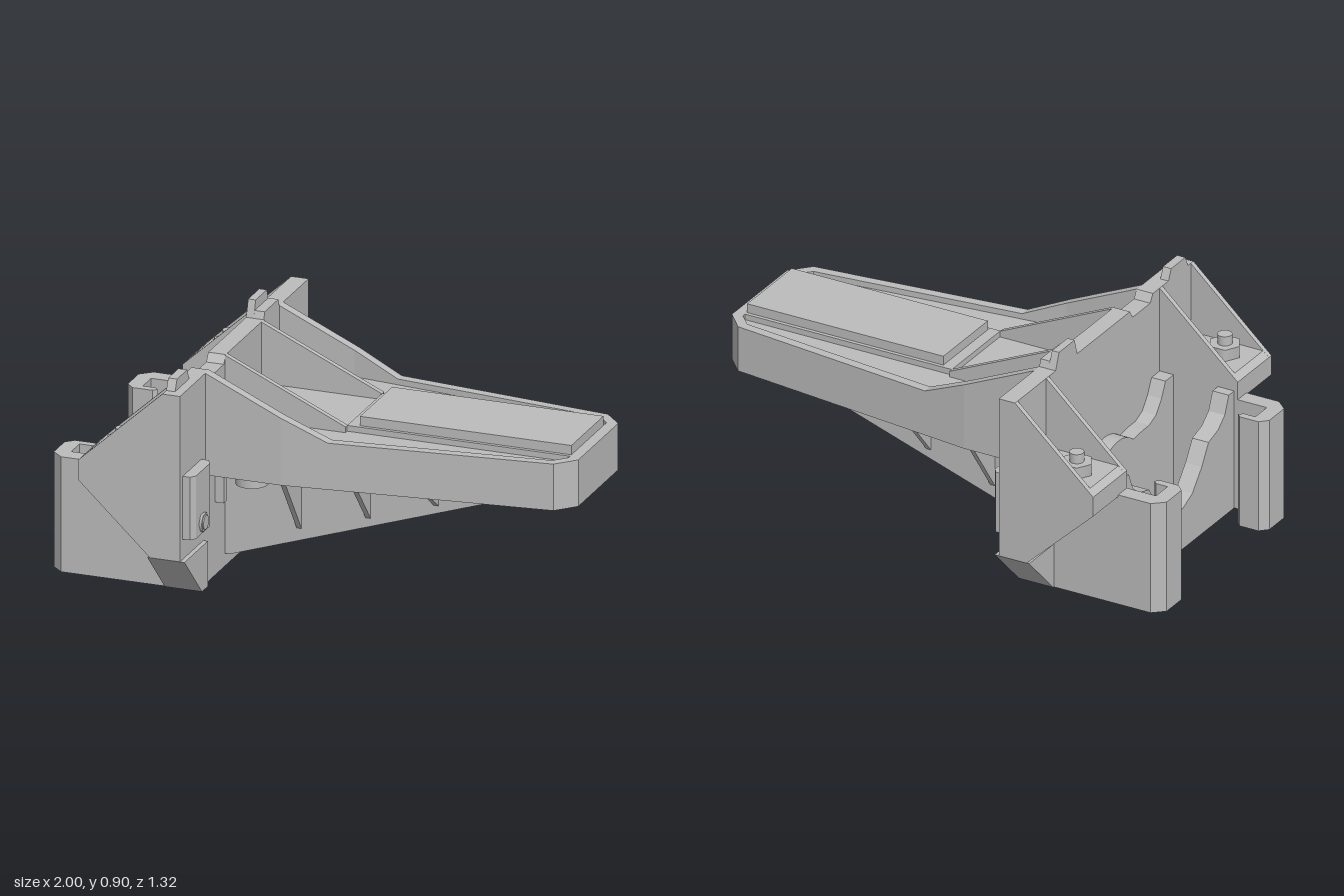
import * as THREE from 'three';

const grey = new THREE.MeshStandardMaterial({ color: 0xbcbcbc });
grey.name = 'plain grey';

// Counter-clockwise shape from [u, v] points, with round holes given as [u, v, radius]
function outline(points, holes = []) {
  const pts = points.map(([u, v]) => new THREE.Vector2(u, v));
  if (THREE.ShapeUtils.isClockWise(pts)) pts.reverse();
  const shape = new THREE.Shape(pts);
  for (const [u, v, r] of holes)
    shape.holes.push(new THREE.Path().absarc(u, v, r, 0, Math.PI * 2, true));
  return shape;
}
const solid = (shape, depth) =>
  new THREE.ExtrudeGeometry(shape, { depth, bevelEnabled: false, curveSegments: 20 });

// Side profile [x, y], pushed along z
const sideProfile = (pts, z0, z1) => solid(outline(pts), z1 - z0).translate(0, 0, z0);
// Cross profile [z, y], pushed along x
const crossProfile = (pts, x0, x1, holes = []) =>
  solid(outline(pts.map(([z, y]) => [-z, y]), holes.map(([z, y, r]) => [-z, y, r])), x1 - x0)
    .rotateY(Math.PI / 2).translate(x0, 0, 0);
// Plan [x, z], pushed along y
const plan = (pts, y0, y1, holes = []) =>
  solid(outline(pts, holes), y1 - y0).rotateX(Math.PI / 2).translate(0, y1, 0);
const box = (x0, x1, y0, y1, z0, z1) =>
  new THREE.BoxGeometry(x1 - x0, y1 - y0, z1 - z0)
    .translate((x0 + x1) / 2, (y0 + y1) / 2, (z0 + z1) / 2);

// Close a symmetric outline by mirroring one coordinate
const mirrorFirst = (pts) => [...pts, ...pts.map(([a, b]) => [-a, b]).reverse()];
const mirrorSecond = (pts) => [...pts, ...pts.map(([a, b]) => [a, -b]).reverse()];

// Arc points in a [z, y] profile
function arc(cz, cy, r, a0, a1, n = 14) {
  return Array.from({ length: n + 1 }, (_, i) => {
    const a = a0 + ((a1 - a0) * i) / n;
    return [cz + r * Math.cos(a), cy + r * Math.sin(a)];
  });
}

// Round tube standing on y
function tubeY(x, z, y0, y1, rOut, rIn) {
  const shape = new THREE.Shape().absarc(0, 0, rOut, 0, Math.PI * 2);
  shape.holes.push(new THREE.Path().absarc(0, 0, rIn, 0, Math.PI * 2, true));
  return solid(shape, y1 - y0).rotateX(Math.PI / 2).translate(x, y1, z);
}

// How far the arm's edge moves inward at x
const taper = (x) => Math.max(0, x + 0.11) * 0.115;

export function createModel() {
  const model = new THREE.Group();
  const add = (name, geometry) => {
    const mesh = new THREE.Mesh(geometry, grey);
    mesh.name = name;
    model.add(mesh);
  };
  const HOLE = [0, 0.226, 0.053];

  // Upright wall with chamfered lower corners and a shallow notch on top
  add('mountingWall', crossProfile([
    [-0.48, 0], [0.48, 0], [0.66, 0.18], [0.66, 0.837], [0.36, 0.837], [0.34, 0.805],
    [0.21, 0.805], [0.19, 0.837], [-0.66, 0.837], [-0.66, 0.18],
  ], -0.48, -0.41, [HOLE]));
  add('wallTabLeft', crossProfile([[0.62, 0.837], [0.6, 0.88], [0.495, 0.88], [0.475, 0.837]], -0.48, -0.445));
  add('wallTabRight', crossProfile([[-0.2, 0.837], [-0.22, 0.903], [-0.335, 0.903], [-0.36, 0.837]], -0.48, -0.45));
  add('wallTabStep', crossProfile([[-0.2, 0.837], [-0.21, 0.865], [-0.35, 0.865], [-0.36, 0.837]], -0.45, -0.41));

  // Scalloped backing plate with a round crest over the bore
  add('backingPlate', crossProfile(mirrorFirst([
    [0.48, 0], [0.66, 0.18], [0.41, 0.18], [0.41, 0.49], [0.35, 0.49], [0.32, 0.43], [0.28, 0.38],
    [0.23, 0.36], [0.18, 0.36], ...arc(0, 0.226, 0.17, 0.85, Math.PI / 2 - 0.05, 8),
  ]), -0.54, -0.48, [HOLE]));
  add('boreCollar', crossProfile(arc(0, 0.226, 0.135, 0, Math.PI * 2, 32).slice(0, -1), -0.41, -0.385, [HOLE]));

  // Saddle shaped cross plate between the clamp walls
  add('crossPlate', crossProfile(mirrorFirst([
    [0.41, 0], [0.41, 0.49], [0.37, 0.49], [0.34, 0.42], [0.29, 0.38], [0.22, 0.36], [0.17, 0.28], [0.1, 0.2], [0.03, 0.17],
  ]), -0.8, -0.73));
  add('crossPlatePad', plan([[-0.73, -0.18], [-0.695, -0.145], [-0.695, 0.145], [-0.73, 0.18]], 0, 0.17));

  for (const s of [-1, 1]) {
    const span = (a, b) => (s > 0 ? [a, b] : [-b, -a]);
    add('collarWeb', box(-0.41, -0.39, 0.17, 0.255, ...span(0.11, 0.18)));

    // Foot of the wall, a little proud of it
    add('wallFoot', crossProfile([[0.42, 0], [0.48, 0], [0.66, 0.18], [0.42, 0.18]].map(([z, y]) => [z * s, y]), -0.41, -0.392));

    // Clamp wall ending in a hook
    add('clampHook', plan([
      [-0.41, 0.475], [-0.955, 0.475], [-1, 0.435], [-1, 0.325], [-0.97, 0.295], [-0.89, 0.295], [-0.875, 0.31],
      [-0.89, 0.325], [-0.94, 0.325], [-0.94, 0.41], [-0.41, 0.41],
    ].map(([x, z]) => [x, z * s]), 0, 0.457));

    // Wedge shaped side box: core, thin side cheeks, captive nut and bolt
    add('sideBox', sideProfile([
      [-0.48, 0.552], [-0.79, 0.552], [-0.815, 0.53], [-0.815, 0.45], [-0.53, 0.18], [-0.48, 0.18],
    ], ...span(0.43, 0.64)));
    for (const z of [0.41, 0.64])
      add('sideBoxCheek', sideProfile([
        [-0.48, 0.837], [-0.815, 0.53], [-0.815, 0.45], [-0.53, 0.18], [-0.48, 0.18],
      ], ...span(z, z + 0.02)));
    add('captiveNut', new THREE.CylinderGeometry(0.063, 0.063, 0.05, 6).rotateY(Math.PI / 6).translate(-0.68, 0.574, s * 0.548));
    add('captiveBolt', new THREE.CylinderGeometry(0.028, 0.028, 0.07, 20).translate(-0.68, 0.602, s * 0.548));

    // Clip plate and bolt on the arm side of the wall
    add('clipPlate', plan([
      [-0.41, 0.44], [-0.38, 0.44], [-0.365, 0.47], [-0.365, 0.61], [-0.38, 0.632], [-0.41, 0.632],
    ].map(([x, z]) => [x, z * s]), 0.26, 0.51));
    add('clipNut', new THREE.CylinderGeometry(0.038, 0.038, 0.016, 6).rotateZ(Math.PI / 2).translate(-0.363, 0.305, s * 0.545));
    add('clipBolt', new THREE.CylinderGeometry(0.028, 0.028, 0.03, 20).rotateZ(Math.PI / 2).translate(-0.365, 0.305, s * 0.545));
    add('wallBar', box(-0.41, -0.375, 0.29, 0.57, ...span(0.272, 0.3)));

    // Outer gusset following the edge of the arm, in a straight and a tapered length
    add('outerGusset', sideProfile([[-0.41, 0.6], [-0.11, 0.6], [-0.11, 0.7], [-0.41, 0.837]], ...span(0.36, 0.4)));
    const tip = sideProfile([[-0.11, 0.6], [0.07, 0.6], [0.07, 0.618], [-0.11, 0.7]], ...span(0.36, 0.4));
    const p = tip.attributes.position;
    for (let i = 0; i < p.count; i++) p.setZ(i, p.getZ(i) - s * taper(p.getX(i)));
    tip.computeVertexNormals();
    add('outerGussetTip', tip);
    add('innerGusset', sideProfile([[-0.41, 0.59], [0.07, 0.59], [0.07, 0.618], [-0.41, 0.837]], ...span(0.175, 0.197)));

    // Long triangular rib under the arm
    add('longRib', sideProfile([
      [-0.41, 0.57], [-0.41, 0.05], [-0.39, 0.05], [0.75, 0.43], [0.75, 0.57],
    ], ...span(0.172, 0.197)));
    add('screwBoss', tubeY(-0.27, s * 0.28, 0.378, 0.57, 0.062, 0.033));
    add('tipWeb', box(0.69, 0.71, 0.45, 0.57, ...span(0.05, 0.28)));
  }

  // Arm: rim ring, deck, centre strip and raised pad
  const rim = mirrorSecond([[-0.41, 0.4], [-0.11, 0.4], [0.93, 0.28], [1, 0.205]]);
  const inner = mirrorSecond([[-0.41, 0.36], [-0.11, 0.36], [0.91, 0.245], [0.958, 0.195]]);
  const ring = outline(rim);
  ring.holes.push(new THREE.Path(inner.map(([x, z]) => new THREE.Vector2(x + (x < -0.4 ? 0.01 : 0), z))));
  add('armRim', solid(ring, 0.185).rotateX(Math.PI / 2).translate(0, 0.618, 0));
  add('armDeck', plan(inner, 0.55, 0.595, [[-0.27, 0.28, 0.033], [-0.27, -0.28, 0.033]]));
  add('centreStrip', box(0.07, 0.962, 0.59, 0.618, -0.18, 0.18));
  add('raisedPad', box(0.115, 0.957, 0.618, 0.655, -0.165, 0.165));
  add('tipBoss', tubeY(0.7, 0, 0.412, 0.57, 0.06, 0.03));

  // Cross ribs under the arm: arched in the middle, sloping webs outside
  for (const [x, low] of [[-0.115, 0.18], [0.16, 0.26], [0.43, 0.35]]) {
    add('archedRib', crossProfile([
      [0.18, 0.57], [0.18, low], ...arc(0, low, 0.1, 0, Math.PI), [-0.18, low], [-0.18, 0.57],
    ], x - 0.01, x + 0.01));
    const reach = 0.375 - taper(x);
    for (const s of [-1, 1])
      add('ribWeb', crossProfile([
        [0.19 * s, 0.57], [0.19 * s, low], [reach * s, 0.44], [reach * s, 0.57],
      ], x - 0.01, x + 0.01));
  }

  return model;
}
